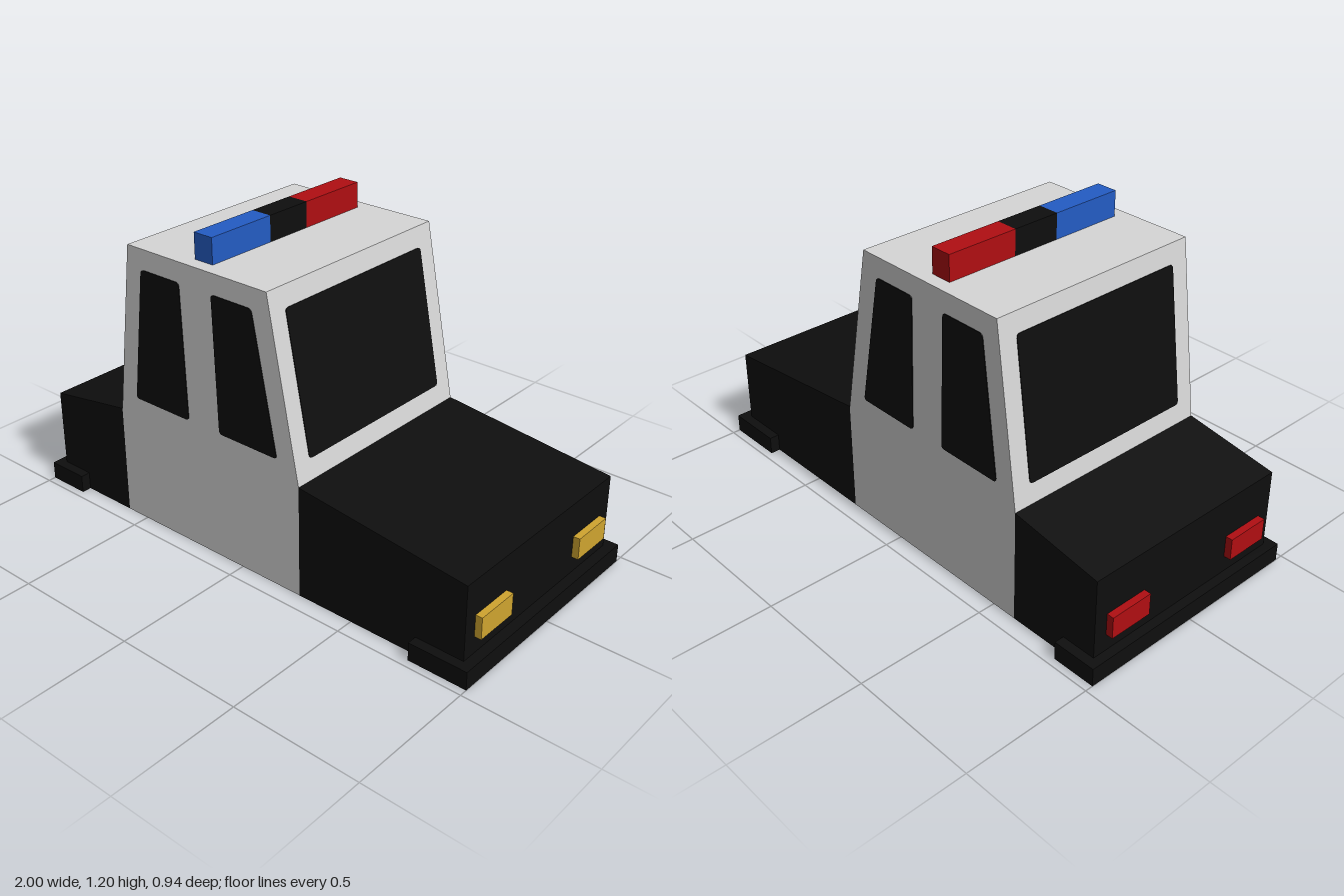
import * as THREE from 'three';

const mat = (name, color) => Object.assign(new THREE.MeshStandardMaterial({ color }), { name });

export function createModel() {
  const car = new THREE.Group();
  car.name = 'patrolCar';
  const black = mat('black', 0x0e0e0e);
  const white = mat('paleGrey', 0xd6d6d6);
  const red = mat('red', 0xb00e12);
  const blue = mat('blue', 0x245cc4);
  const amber = mat('amber', 0xd0a530);
  const W = 0.432; // half width of the body

  const add = (name, geometry, material) => {
    const mesh = new THREE.Mesh(geometry, material);
    mesh.name = name;
    car.add(mesh);
    return mesh;
  };
  // Box given by its limits on each axis
  const box = (name, material, [x0, x1], [y0, y1], [z0, z1]) =>
    add(name, new THREE.BoxGeometry(x1 - x0, y1 - y0, z1 - z0), material)
      .position.set((x0 + x1) / 2, (y0 + y1) / 2, (z0 + z1) / 2);
  // Side profile extruded across the width
  const section = (name, material, pts) => {
    const shape = new THREE.Shape(pts.map(p => new THREE.Vector2(...p)));
    const geo = new THREE.ExtrudeGeometry(shape, { depth: 2 * W, bevelEnabled: false });
    add(name, geo.translate(0, 0, -W), material);
  };
  // Thin pane with slightly rounded corners, centred on its plane
  const pane = (pts, r = 0.014) => {
    const v = pts.map(p => new THREE.Vector2(...p));
    const shape = new THREE.Shape();
    v.forEach((p, i) => {
      const toward = q => q.clone().sub(p).setLength(r).add(p);
      const a = toward(v[(i + 3) % 4]);
      const b = toward(v[(i + 1) % 4]);
      if (i) shape.lineTo(a.x, a.y);
      else shape.moveTo(a.x, a.y);
      shape.quadraticCurveTo(p.x, p.y, b.x, b.y);
    });
    shape.closePath();
    return new THREE.ExtrudeGeometry(shape, { depth: 0.006, bevelEnabled: false, curveSegments: 3 })
      .translate(0, 0, -0.003);
  };

  // Body
  section('cabin', white, [[-0.6, 0], [0.27, 0], [0.27, 0.435], [0.14, 1.105], [-0.51, 1.105], [-0.6, 0.435]]);
  section('hood', black, [[0.27, 0], [0.96, 0], [0.96, 0.357], [0.27, 0.435]]);
  section('trunk', black, [[-0.965, 0], [-0.6, 0], [-0.6, 0.435], [-0.965, 0.377]]);
  box('frontBumper', black, [0.77, 1], [0, 0.07], [-0.47, 0.47]);
  box('rearBumper', black, [-1, -0.83], [0, 0.07], [-0.47, 0.47]);

  // Side windows on both sides
  const sideWindows = {
    rearSideWindow: [[-0.512, 0.51], [-0.243, 0.51], [-0.261, 1.028], [-0.447, 1.028]],
    frontSideWindow: [[-0.093, 0.51], [0.175, 0.51], [0.073, 1.028], [-0.109, 1.028]],
  };
  for (const [name, pts] of Object.entries(sideWindows))
    for (const s of [1, -1]) add(name, pane(pts), black).position.z = s * W;

  // Windshield and rear window lie on the sloping cabin ends
  const slopedWindow = (name, foot, top, s) => {
    const up = new THREE.Vector3(top - foot, 0.67, 0);
    const k = up.length() / 0.67;
    up.normalize();
    const side = new THREE.Vector3(0, 0, -s);
    const out = side.clone().cross(up);
    const lo = 0.075 * k, hi = 0.595 * k;
    const glass = add(name, pane([[-0.36, lo], [0.36, lo], [0.36, hi], [-0.36, hi]]), black);
    glass.quaternion.setFromRotationMatrix(new THREE.Matrix4().makeBasis(side, up, out));
    glass.position.set(foot, 0.435, 0);
  };
  slopedWindow('windshield', 0.27, 0.14, 1);
  slopedWindow('rearWindow', -0.6, -0.51, -1);

  // Headlights and tail lights
  for (const s of [1, -1]) {
    const z = s > 0 ? [0.205, 0.379] : [-0.379, -0.205];
    box('headlight', amber, [0.955, 0.986], [0.136, 0.22], z);
    box('tailLight', red, [-0.992, -0.96], [0.136, 0.22], z);
  }

  // Roof light bar
  const barX = [-0.233, -0.15], barY = [1.105, 1.202];
  box('blueBeacon', blue, barX, barY, [0.095, 0.379]);
  box('beaconCentre', black, barX, barY, [-0.095, 0.095]);
  box('redBeacon', red, barX, barY, [-0.379, -0.095]);

  return car;
}
